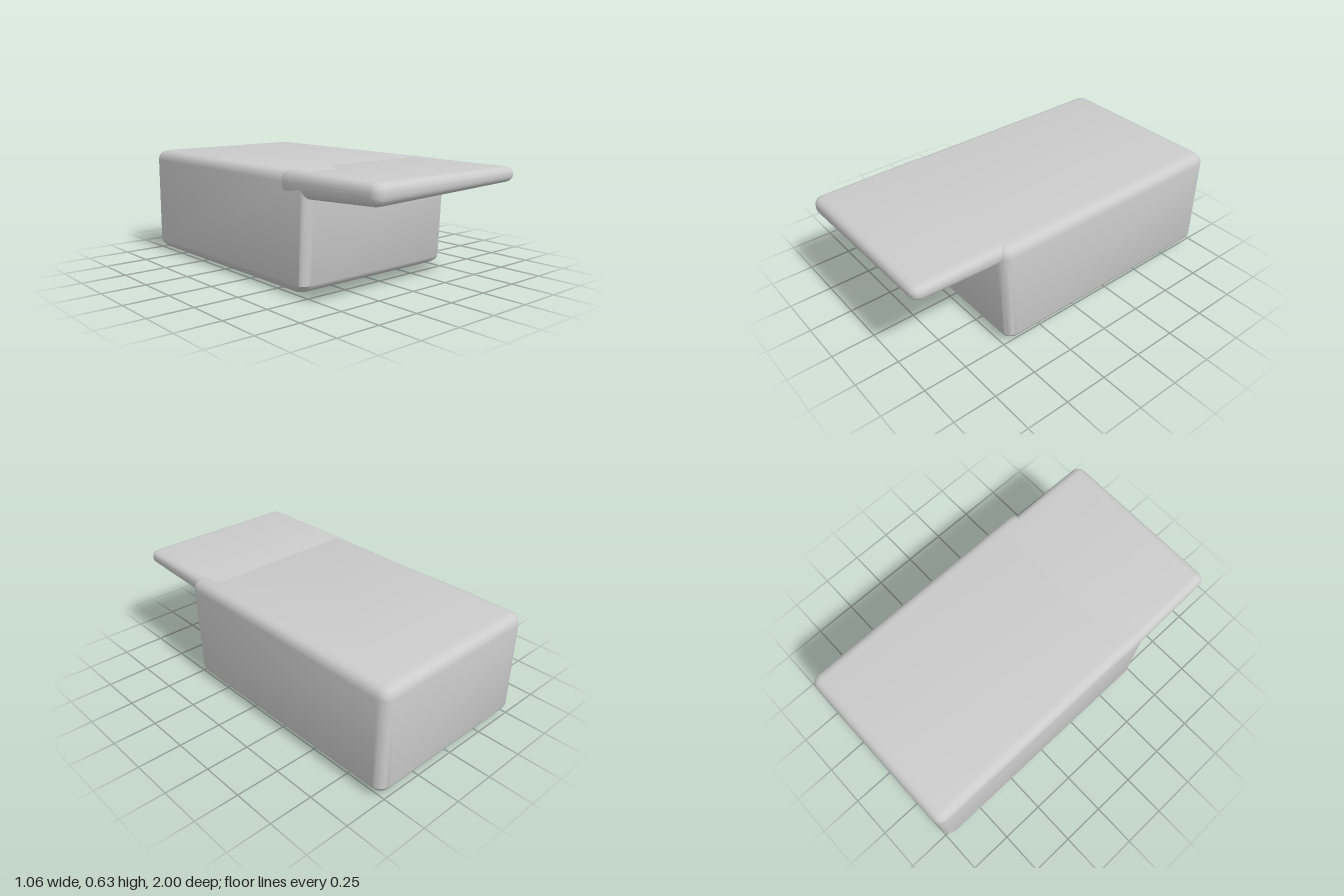
import * as THREE from 'three';
import { RoundedBoxGeometry } from 'three/addons/geometries/RoundedBoxGeometry.js';
import { mergeVertices, toCreasedNormals } from 'three/addons/utils/BufferGeometryUtils.js';

// Rounded box between two corners, with its vertices moved by a rule.
function softBox(name, min, max, radius, rule) {
  const size = max.clone().sub(min);
  let geo = new RoundedBoxGeometry(size.x, size.y, size.z, 3, radius);
  geo.translate(...min.clone().add(max).multiplyScalar(0.5).toArray());
  const pos = geo.attributes.position;
  const p = new THREE.Vector3();
  for (let i = 0; i < pos.count; i++) {
    rule(p.fromBufferAttribute(pos, i));
    pos.setXYZ(i, p.x, p.y, p.z);
  }
  geo.deleteAttribute('normal');
  geo.deleteAttribute('uv');
  geo = toCreasedNormals(mergeVertices(geo, 1e-4), 0.5);
  const mesh = new THREE.Mesh(geo, new THREE.MeshStandardMaterial({ color: 0xcccccc }));
  mesh.name = name;
  return mesh;
}

export function createModel() {
  const group = new THREE.Group();
  group.name = 'block';
  const top = 0.635;

  // Main block: leaning front, longer bevel under the front, narrower underside
  group.add(softBox('body', new THREE.Vector3(-0.528, 0, -1), new THREE.Vector3(0.528, top, 0.515), 0.06, (p) => {
    const low = Math.max(0, 1 - p.y / 0.06);
    p.x *= 1 - 0.04 * low;
    if (p.z > 0) {
      // tighter corner on the right, wider bevel on the left
      if (p.x < 0 && p.y > 0.05) p.z += (0.515 - p.z) * 0.5;
      p.z -= 0.027 * (1 - p.y / top) + 0.06 * low * low;
    } else {
      p.z += 0.02 * low;
    }
  }));

  // Thin ledge flush with the top: underside rises to the front and to the left
  const thick = 0.12;
  group.add(softBox('ledge', new THREE.Vector3(-0.525, top - thick, 0.3), new THREE.Vector3(0.495, top, 1), 0.05, (p) => {
    const depth = (top - p.y) / thick;
    const bottom = 0.525 - 0.05 * (1 - p.z) + 0.03 * (p.x + 0.5);
    p.y = top - depth * (top - bottom);
    p.x += 0.01 * (p.z - 0.75) * (p.x < 0 ? 1.5 : -0.5);
  }));

  return group;
}
